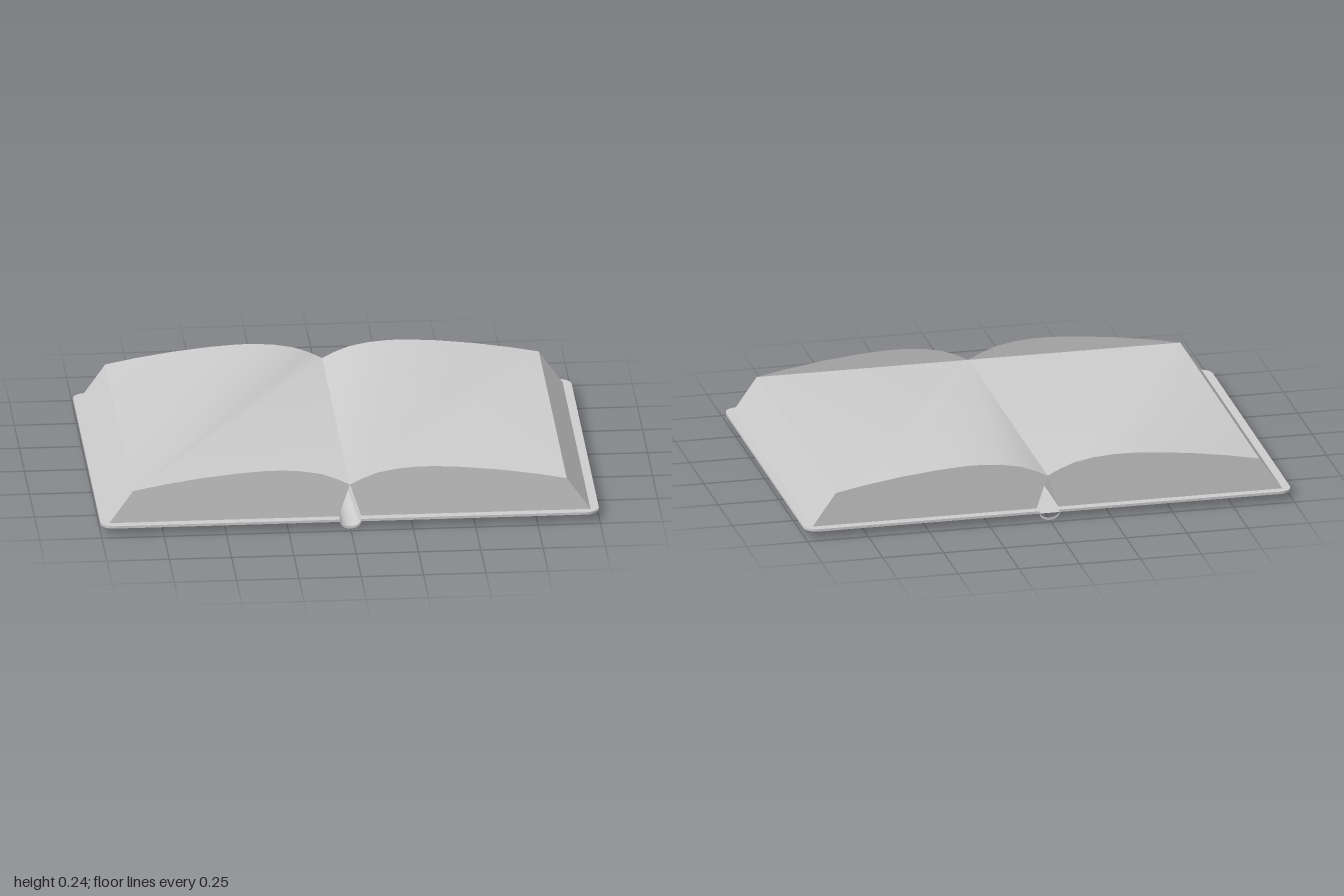
import * as THREE from 'three';
import { toCreasedNormals } from 'three/addons/utils/BufferGeometryUtils.js';

const material = new THREE.MeshStandardMaterial({ color: 0xcccccc, side: THREE.DoubleSide });
const PAGE_Z = 0.69, COVER_Z = 0.726;
const COVER_BOTTOM = 0.03, COVER_TOP = 0.04, SPINE_R = 0.042;

function mesh(geometry, name) {
  const m = new THREE.Mesh(geometry, material);
  m.name = name;
  return m;
}

// Polygon of [x, y, z] corners, split as a fan around its first corner
function fan(points, name) {
  const pos = [];
  for (let i = 1; i < points.length - 1; i++) pos.push(...points[0], ...points[i], ...points[i + 1]);
  const g = new THREE.BufferGeometry();
  g.setAttribute('position', new THREE.Float32BufferAttribute(pos, 3));
  g.computeVertexNormals();
  return mesh(toCreasedNormals(g, 0.6), name);
}

// Upright flat end piece at depth z, facing outwards
function endCap(profile, z, name) {
  const s = Math.sign(z);
  const shape = new THREE.Shape(profile.map(([x, y]) => new THREE.Vector2(x * s, y)));
  const m = mesh(new THREE.ShapeGeometry(shape), name);
  m.position.z = z;
  if (s < 0) m.rotation.y = Math.PI;
  return m;
}

// Half of the open pages; side is +1 or -1
function pageBlock(side) {
  const group = new THREE.Group();
  group.name = side > 0 ? 'leftPages' : 'rightPages';
  let arch = [[0, 0.175], [0.05, 0.2], [0.11, 0.223], [0.19, 0.238], [0.27, 0.244], [0.34, 0.244],
    [0.45, 0.237], [0.6, 0.221], [0.75, 0.198], [0.87, 0.175]].map(([x, y]) => [x * side, y]);
  const inner = [0.045 * side, COVER_TOP], outer = [0.965 * side, COVER_TOP];
  const profile = [inner, ...arch, outer];

  // Page surface: low along the front, arched along the back
  if (side < 0) arch = arch.reverse();
  const first = arch[0], last = arch[arch.length - 1];
  group.add(fan([
    [...first, PAGE_Z], [...last, PAGE_Z],
    ...arch.slice().reverse().map(p => [...p, -PAGE_Z]),
  ], 'pageSurface'));

  // Arched ends
  for (const z of [PAGE_Z, -PAGE_Z]) group.add(endCap(profile, z, z > 0 ? 'pageFrontEnd' : 'pageBackEnd'));

  // Sloping outer edge, inner edge by the gutter, and underside
  const wall = (a, b, name) => group.add(
    fan([[...a, PAGE_Z], [...a, -PAGE_Z], [...b, -PAGE_Z], [...b, PAGE_Z]], name));
  const crest = [0.87 * side, 0.175], gutter = [0, 0.175];
  if (side > 0) {
    wall(crest, outer, 'pageOuterEdge'); wall(inner, gutter, 'pageInnerEdge'); wall(outer, inner, 'pageUnderside');
  } else {
    wall(outer, crest, 'pageOuterEdge'); wall(gutter, inner, 'pageInnerEdge'); wall(inner, outer, 'pageUnderside');
  }
  return group;
}

// Thin board with two rounded outer corners
function coverBoard(side) {
  const r = 0.055, s = new THREE.Shape();
  s.moveTo(SPINE_R, -COVER_Z);
  s.lineTo(1 - r, -COVER_Z);
  s.absarc(1 - r, -COVER_Z + r, r, -Math.PI / 2, 0);
  s.absarc(1 - r, COVER_Z - r, r, 0, Math.PI / 2);
  s.lineTo(SPINE_R, COVER_Z);
  s.closePath();
  const g = new THREE.ExtrudeGeometry(s, { depth: COVER_TOP - COVER_BOTTOM, bevelEnabled: false, curveSegments: 6 });
  g.rotateX(-Math.PI / 2);
  if (side < 0) g.rotateY(Math.PI);
  g.translate(0, COVER_BOTTOM, 0);
  return mesh(toCreasedNormals(g, 0.6), side > 0 ? 'leftCover' : 'rightCover');
}

// Half-round spine that tapers from the front towards the back
function spine() {
  const group = new THREE.Group();
  group.name = 'spine';
  const arc = (rx, top, ry) => Array.from({ length: 11 }, (_, i) => {
    const a = Math.PI + (i / 10) * Math.PI;
    return [rx * Math.cos(a), top + ry * Math.sin(a)];
  });
  const outer = arc(SPINE_R, COVER_BOTTOM, COVER_BOTTOM);
  const inner = arc(SPINE_R, COVER_TOP, COVER_BOTTOM);
  const [left, right] = [-SPINE_R, SPINE_R];

  group.add(fan([
    [left, COVER_BOTTOM, -COVER_Z], [right, COVER_BOTTOM, -COVER_Z],
    ...outer.slice().reverse().map(p => [...p, COVER_Z]),
  ], 'spineOutside'));
  group.add(fan([
    [left, COVER_TOP, -COVER_Z], ...inner.map(p => [...p, COVER_Z]), [right, COVER_TOP, -COVER_Z],
  ], 'spineInside'));
  for (const z of [COVER_Z, -COVER_Z]) {
    group.add(endCap([...outer, ...inner.slice().reverse()], z, z > 0 ? 'spineFrontEnd' : 'spineBackEnd'));
  }
  return group;
}

export function createModel() {
  const book = new THREE.Group();
  book.name = 'openBook';
  for (const side of [1, -1]) book.add(pageBlock(side), coverBoard(side));
  book.add(spine());
  return book;
}
